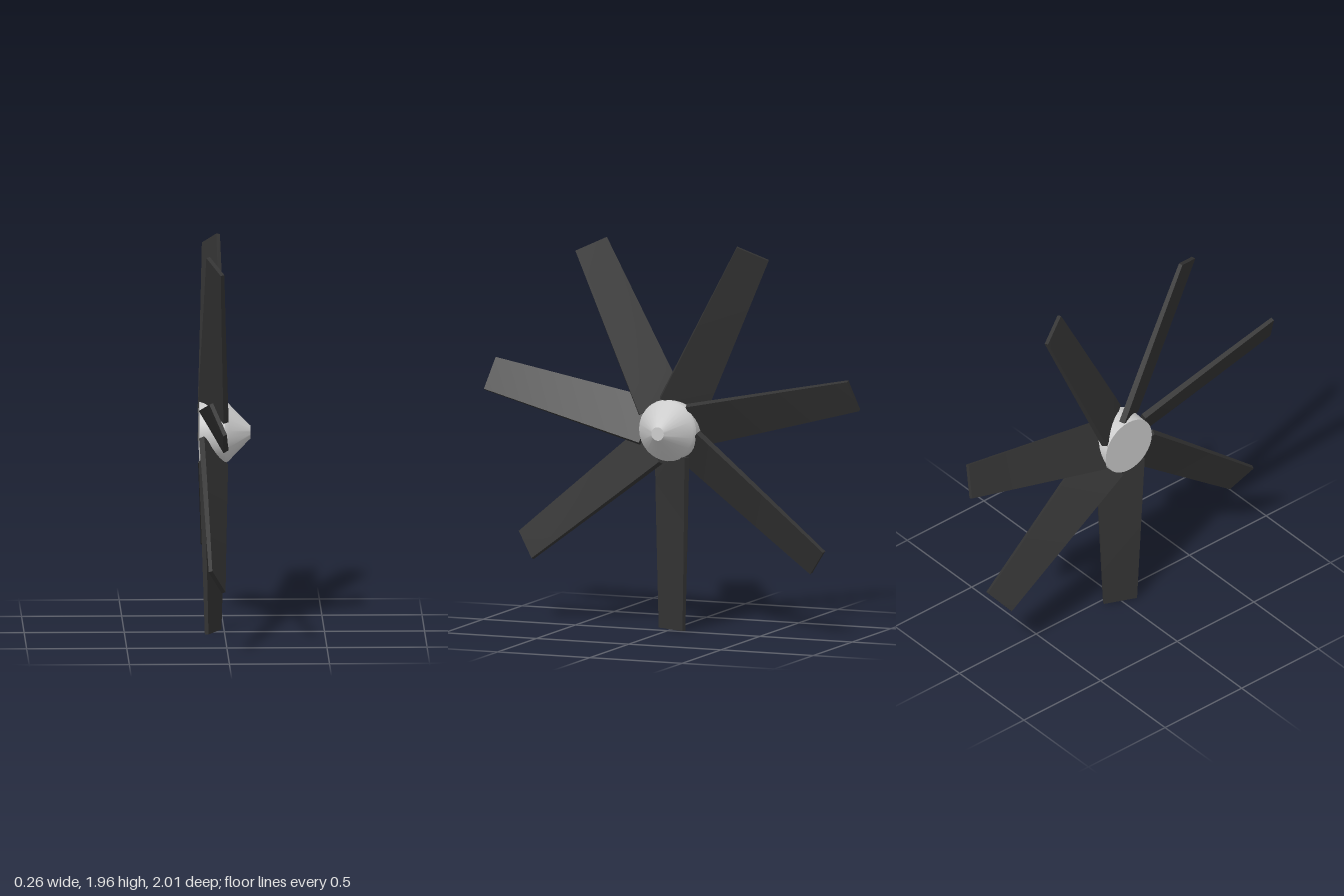
import * as THREE from 'three';
import { toCreasedNormals } from 'three/addons/utils/BufferGeometryUtils.js';

const BLADES = 7;
const ROOT = 0.13, TIP = 1.01;  // radial reach of a blade
const AXIS_Y = 1.01;

// Tapered, slightly twisted blade pointing along +y, pitched about its own length
function bladeGeometry() {
  const geo = new THREE.BoxGeometry(1, 1, 1, 1, 6, 1);
  const pos = geo.attributes.position;
  for (let i = 0; i < pos.count; i++) {
    const f = pos.getY(i) + 0.5; // 0 at root, 1 at tip
    const chord = THREE.MathUtils.lerp(0.245, 0.172, f) * pos.getZ(i);
    const thick = THREE.MathUtils.lerp(0.03, 0.02, f) * pos.getX(i);
    const pitch = THREE.MathUtils.degToRad(THREE.MathUtils.lerp(30, 23.5, f));
    pos.setXYZ(i,
      chord * Math.sin(pitch) + thick * Math.cos(pitch) - 0.056,
      THREE.MathUtils.lerp(ROOT, TIP, f),
      chord * Math.cos(pitch) - thick * Math.sin(pitch));
  }
  return toCreasedNormals(geo, 0.5);
}

export function createModel() {
  const model = new THREE.Group();
  model.name = 'propeller';
  const grey = new THREE.MeshStandardMaterial({ color: 0xcccccc });
  const dark = new THREE.MeshStandardMaterial({ color: 0x333333 });

  const rotor = new THREE.Group();
  rotor.name = 'rotor';
  rotor.position.y = AXIS_Y;
  model.add(rotor);

  // Hub drum with chamfered shoulder and blunt cone, turned about the x axis
  const profile = [
    [0, -0.125], [0.15, -0.125], [0.155, 0], [0.145, 0.02],
    [0.04, 0.122], [0.034, 0.13], [0, 0.13],
  ].map(([r, h]) => new THREE.Vector2(r, h));
  const hubGeo = toCreasedNormals(new THREE.LatheGeometry(profile, 32), 0.45);
  hubGeo.rotateZ(-Math.PI / 2);
  const hub = new THREE.Mesh(hubGeo, grey);
  hub.name = 'hub';
  rotor.add(hub);

  // Blades evenly spaced, the first pointing straight down
  const geo = bladeGeometry();
  for (let i = 0; i < BLADES; i++) {
    const blade = new THREE.Mesh(geo, dark);
    blade.name = `blade${i + 1}`;
    blade.rotation.x = Math.PI + (i * 2 * Math.PI) / BLADES;
    rotor.add(blade);
  }
  return model;
}
